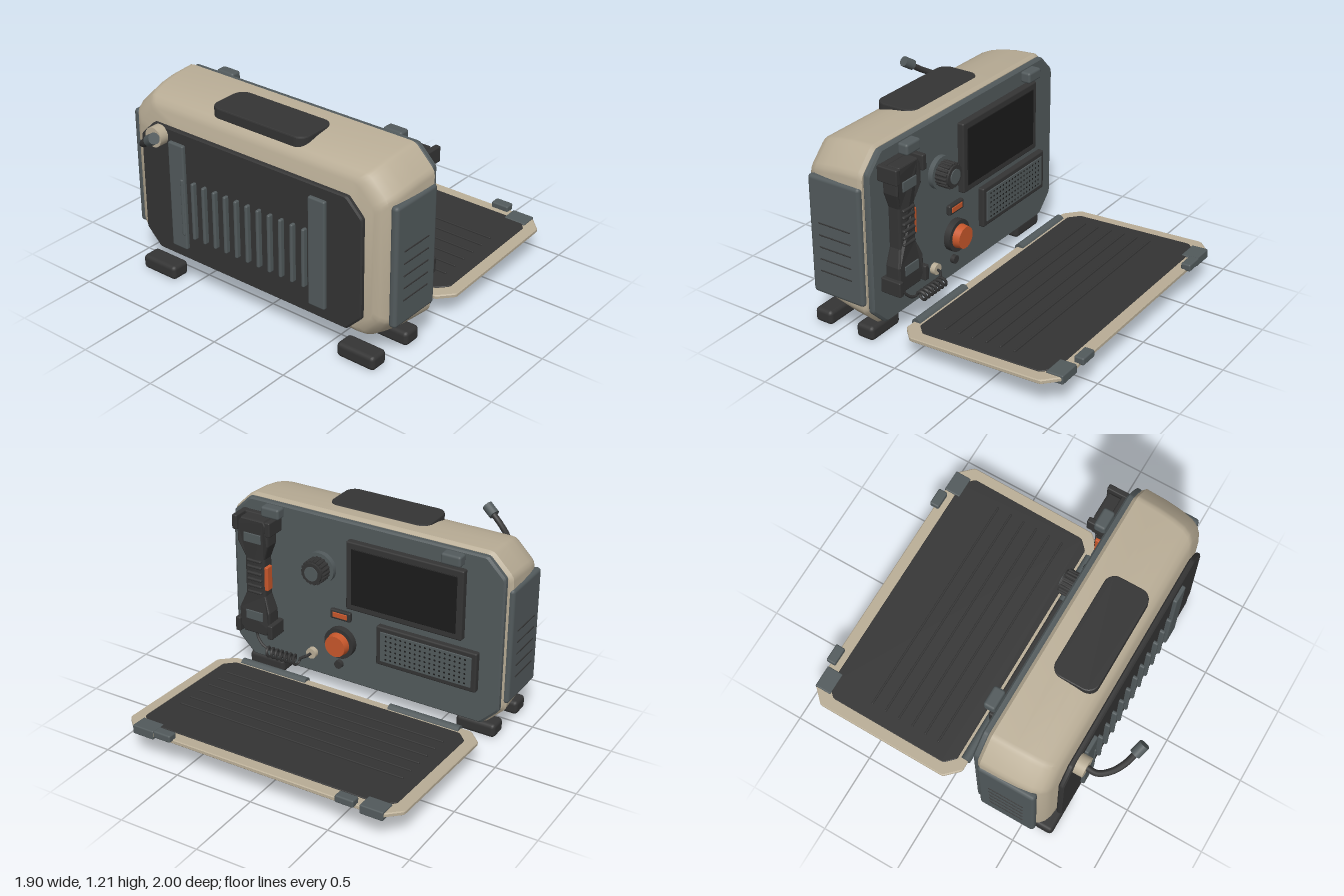
import * as THREE from 'three';
import { toCreasedNormals, mergeGeometries } from 'three/addons/utils/BufferGeometryUtils.js';
import { RoundedBoxGeometry } from 'three/addons/geometries/RoundedBoxGeometry.js';

const colour = (name, hex) => {
  const m = new THREE.MeshStandardMaterial({ color: hex });
  m.name = name;
  return m;
};
const beige = colour('beige shell', 0xb9ad96);
const dark = colour('dark rubber', 0x343434);
const gray = colour('slate gray', 0x525a5c);
const black = colour('black glass', 0x1b1b1b);
const orange = colour('orange', 0xc8572b);

function add(parent, name, geo, mat, x = 0, y = 0, z = 0) {
  const m = new THREE.Mesh(geo, mat);
  m.name = name;
  m.position.set(x, y, z);
  parent.add(m);
  return m;
}

// Rounded box given by its extents
function box(parent, name, mat, x0, x1, y0, y1, z0, z1, r = 0.01) {
  const w = x1 - x0, h = y1 - y0, d = z1 - z0;
  const geo = new RoundedBoxGeometry(w, h, d, 2, Math.min(r, w * 0.45, h * 0.45, d * 0.45));
  return add(parent, name, geo, mat, (x0 + x1) / 2, (y0 + y1) / 2, (z0 + z1) / 2);
}

// Cylinder along z
function disc(parent, name, mat, x, y, z0, z1, r, r2 = r, sides = 32) {
  const geo = new THREE.CylinderGeometry(r2, r, z1 - z0, sides).rotateX(Math.PI / 2);
  return add(parent, name, geo, mat, x, y, (z0 + z1) / 2);
}

// Octagon outline with softened corners, counter-clockwise
function octagon(hx, y0, y1, c, r) {
  const p = [[hx, y0 + c], [hx, y1 - c], [hx - c, y1], [c - hx, y1], [-hx, y1 - c], [-hx, y0 + c], [c - hx, y0], [hx - c, y0]]
    .map(([x, y]) => new THREE.Vector2(x, y));
  const out = [];
  p.forEach((q, i) => {
    const a = q.clone().add(p[(i + 7) % 8].clone().sub(q).setLength(r));
    const b = q.clone().add(p[(i + 1) % 8].clone().sub(q).setLength(r));
    out.push(a, a.clone().add(b).multiplyScalar(0.25).addScaledVector(q, 0.5), b);
  });
  return out;
}

// Skin through octagons [z, halfWidth, bottom, top, chamfer], capped at both ends
function loft(sections, r) {
  const pos = [], idx = [], n = 24, last = (sections.length - 1) * n;
  for (const [z, hx, y0, y1, c] of sections) for (const p of octagon(hx, y0, y1, c, r)) pos.push(p.x, p.y, z);
  for (let i = 0; i < last; i += n) for (let j = 0; j < n; j++) {
    const k = (j + 1) % n;
    idx.push(i + j, i + k, i + n + k, i + j, i + n + k, i + n + j);
  }
  for (let j = 1; j < n - 1; j++) idx.push(0, j + 1, j, last, last + j, last + j + 1);
  const g = new THREE.BufferGeometry();
  g.setAttribute('position', new THREE.Float32BufferAttribute(pos, 3));
  g.setIndex(idx);
  return toCreasedNormals(g, 0.55);
}

// Flat octagonal plate with bevelled rims
function plate(hx, y0, y1, c, z0, z1, b) {
  return loft([[z0, hx - b, y0 + b, y1 - b, c], [z0 + b, hx, y0, y1, c], [z1 - b, hx, y0, y1, c], [z1, hx - b, y0 + b, y1 - b, c]], 0.012);
}

function buildCase(g) {
  add(g, 'shell', loft([
    [0.245, 0.915, 0.115, 1.19, 0.125], [0.265, 0.93, 0.1, 1.206, 0.13], [0.4, 0.928, 0.118, 1.198, 0.13],
    [0.5, 0.922, 0.138, 1.183, 0.13], [0.57, 0.912, 0.155, 1.165, 0.128], [0.615, 0.893, 0.172, 1.146, 0.125],
    [0.64, 0.868, 0.19, 1.122, 0.122], [0.656, 0.835, 0.215, 1.093, 0.118]], 0.025), beige);
  add(g, 'backPlate', plate(0.905, 0.118, 1.19, 0.11, 0.207, 0.25, 0.01), gray);
  add(g, 'frontPanel', plate(0.79, 0.22, 1.027, 0.1, 0.668, 0.702, 0.008), dark);
  box(g, 'topGrip', dark, -0.333, 0.33, 1.14, 1.207, 0.35, 0.615).geometry = gripGeometry();
  // Front ribs and uprights
  for (let i = 0; i < 12; i++) box(g, 'frontRib', gray, -0.476 + i * 0.08, -0.454 + i * 0.08, 0.387, 0.748, 0.695, 0.732, 0.009);
  for (const x of [-0.505, 0.503]) box(g, 'frontUpright', gray, x - 0.057, x + 0.057, 0.293, 0.957, 0.695, 0.725, 0.01);
  for (const s of [-1, 1]) {
    // Side panels with slots
    box(g, 'sidePanel', gray, s * 0.92 - 0.025, s * 0.92 + 0.025, 0.267, 1.003, 0.248, 0.606, 0.022);
    for (let i = 0; i < 5; i++) box(g, 'sideSlot', dark, s * 0.946 - 0.003, s * 0.946 + 0.003, 0.417 + i * 0.075, 0.425 + i * 0.075, 0.32, 0.54, 0.002);
    for (const z of [0.32, 0.622]) box(g, 'foot', dark, s * 0.735 - 0.128, s * 0.735 + 0.128, 0, 0.09, z - 0.061, z + 0.061, 0.025);
    box(g, 'topCatch', gray, s * 0.6 - 0.063, s * 0.6 + 0.063, 1.118, 1.187, 0.13, 0.2, 0.015);
  }
}

function gripGeometry() {
  const w = 0.325, d = 0.127, r = 0.06, s = new THREE.Shape();
  s.absarc(w - r, d - r, r, 0, Math.PI / 2);
  s.absarc(r - w, d - r, r, Math.PI / 2, Math.PI);
  s.absarc(r - w, r - d, r, Math.PI, Math.PI * 1.5);
  s.absarc(w - r, r - d, r, Math.PI * 1.5, Math.PI * 2);
  return new THREE.ExtrudeGeometry(s, { depth: 0.05, bevelSize: 0.007, bevelThickness: 0.008, bevelSegments: 2, curveSegments: 8 })
    .rotateX(-Math.PI / 2).translate(0, -0.025, 0);
}

function buildAntenna(g) {
  disc(g, 'antennaBase', beige, -0.635, 0.972, 0.7, 0.76, 0.06);
  const path = new THREE.CatmullRomCurve3([[-0.635, 0.972, 0.75], [-0.635, 0.974, 0.82], [-0.59, 0.998, 0.885],
    [-0.52, 1.04, 0.932], [-0.45, 1.09, 0.957]].map(p => new THREE.Vector3(...p)));
  add(g, 'antennaStalk', new THREE.TubeGeometry(path, 24, 0.019, 10), dark);
  const tip = add(g, 'antennaTip', new THREE.CylinderGeometry(0.033, 0.033, 0.075, 16), gray, -0.438, 1.1, 0.962);
  tip.quaternion.setFromUnitVectors(new THREE.Vector3(0, 1, 0), new THREE.Vector3(0.8, 0.52, 0.28).normalize());
}

function buildControls(g) {
  // Screen
  box(g, 'screenFrame', dark, -0.67, 0.095, 0.645, 1.087, 0.165, 0.215);
  box(g, 'screenGlass', black, -0.632, 0.057, 0.685, 1.047, 0.161, 0.169, 0.003);
  // Speaker
  box(g, 'speakerFrame', dark, -0.77, -0.11, 0.33, 0.587, 0.17, 0.215);
  box(g, 'speakerGrille', gray, -0.74, -0.14, 0.36, 0.557, 0.165, 0.174, 0.003);
  const holes = [];
  for (let i = 0; i < 17; i++) for (let j = 0; j < 6; j++)
    holes.push(new THREE.CircleGeometry(0.007, 8).rotateY(Math.PI).translate(-0.7 + i * 0.0325, 0.381 + j * 0.031, 0.1645));
  add(g, 'speakerHoles', mergeGeometries(holes), black);
  // Tuning knob
  disc(g, 'knobBase', gray, 0.285, 0.858, 0.175, 0.21, 0.1);
  disc(g, 'knob', dark, 0.285, 0.858, 0.09, 0.18, 0.067, 0.074);
  for (let i = 0; i < 18; i++) {
    const a = i * Math.PI / 9;
    disc(g, 'knobRidge', dark, 0.285 + 0.07 * Math.cos(a), 0.858 + 0.07 * Math.sin(a), 0.1, 0.175, 0.009, 0.009, 8);
  }
  disc(g, 'knobCap', gray, 0.285, 0.858, 0.084, 0.092, 0.045);
  // Call button, indicator, small button and cord socket
  disc(g, 'buttonRing', dark, 0.145, 0.394, 0.165, 0.21, 0.1);
  disc(g, 'callButton', orange, 0.145, 0.394, 0.12, 0.17, 0.068, 0.075);
  box(g, 'indicatorFrame', dark, 0.075, 0.215, 0.545, 0.608, 0.18, 0.21);
  box(g, 'indicatorLight', orange, 0.095, 0.195, 0.56, 0.593, 0.175, 0.184, 0.003);
  disc(g, 'smallButton', dark, 0.16, 0.235, 0.18, 0.21, 0.026);
  disc(g, 'cordSocket', beige, 0.35, 0.26, 0.175, 0.21, 0.034);
}

function buildHandset(g) {
  // Grip silhouette, wide at both ends
  const half = [[0.075, 0.35], [0.1, 0.39], [0.1, 0.5], [0.062, 0.6], [0.062, 0.85], [0.1, 0.95], [0.1, 1.06], [0.075, 1.1]];
  const pts = [...half, ...half.map(([x, y]) => [-x, y]).reverse()].map(([x, y]) => new THREE.Vector2(x, y));
  const geo = new THREE.ExtrudeGeometry(new THREE.Shape(pts), { depth: 0.075, bevelSize: 0.008, bevelThickness: 0.012, bevelSegments: 2 });
  // Thin the middle of the grip
  const p = geo.attributes.position;
  for (let i = 0; i < p.count; i++) {
    const y = p.getY(i);
    if (p.getZ(i) < 0.04 && y > 0.55 && y < 0.9) p.setZ(i, p.getZ(i) + 0.02);
  }
  geo.computeVertexNormals();
  add(g, 'handset', geo, dark, 0.7, 0, 0.105);
  for (let i = 0; i < 6; i++) box(g, 'gripRib', dark, 0.648, 0.752, 0.612 + i * 0.042, 0.63 + i * 0.042, 0.095, 0.13, 0.008);
  for (const y of [0.465, 0.985]) box(g, 'handsetGrille', gray, 0.64, 0.76, y - 0.03, y + 0.03, 0.088, 0.097, 0.003);
  box(g, 'talkKey', orange, 0.612, 0.645, 0.64, 0.8, 0.115, 0.17, 0.008);
  // Cradle clips
  for (const y of [0.382, 1.07]) {
    for (const x of [0.582, 0.815]) box(g, 'cradleClip', dark, x - 0.018, x + 0.018, y - 0.047, y + 0.047, 0.075, 0.21, 0.008);
    box(g, 'cradleBase', dark, 0.58, 0.82, y - 0.045, y + 0.045, 0.17, 0.212);
  }
  // Coiled cord
  const cord = [[0.72, 0.36, 0.15], [0.715, 0.3, 0.14], [0.67, 0.25, 0.13]].map(q => new THREE.Vector3(...q));
  for (let i = 0; i <= 56; i++) {
    const a = i * Math.PI / 4;
    cord.push(new THREE.Vector3(0.62 - i * 0.004, 0.235 + 0.028 * Math.sin(a), 0.1 + 0.028 * Math.cos(a)));
  }
  cord.push(new THREE.Vector3(0.36, 0.255, 0.15), new THREE.Vector3(0.35, 0.26, 0.2));
  add(g, 'coiledCord', new THREE.TubeGeometry(new THREE.CatmullRomCurve3(cord), 260, 0.009, 6), dark);
}

function buildLid(g) {
  const lid = new THREE.Group();
  lid.name = 'lid';
  lid.position.set(0, 0.147, 0.043);
  lid.rotation.x = 0.048;
  g.add(lid);
  add(lid, 'lidPlate', plate(0.903, -0.008, 1.015, 0.085, -0.016, 0.01, 0.005).rotateX(-Math.PI / 2), beige);
  add(lid, 'lidLining', plate(0.833, 0.055, 0.943, 0.06, 0.006, 0.016, 0.003).rotateX(-Math.PI / 2), dark);
  for (let i = 0; i < 6; i++) box(lid, 'lidRib', dark, -0.745, 0.745, 0.01, 0.026, -0.21 - i * 0.092, -0.198 - i * 0.092, 0.005);
  for (const z of [-0.2, -0.4]) box(lid, 'undersideRail', beige, -0.54, 0.54, -0.028, -0.01, z - 0.02, z + 0.02, 0.008);
  for (const s of [-1, 1]) {
    box(lid, 'lidCorner', gray, s * 0.75 - 0.072, s * 0.75 + 0.072, -0.036, 0.02, -1.018, -0.912, 0.008);
    box(lid, 'lidLatch', gray, s * 0.598 - 0.058, s * 0.598 + 0.058, 0, 0.045, -1.044, -0.982, 0.01);
    add(lid, 'hinge', new THREE.CylinderGeometry(0.031, 0.031, 0.465, 20).rotateZ(Math.PI / 2), gray, s * 0.52, 0, -0.01);
  }
}

export function createModel() {
  const model = new THREE.Group();
  model.name = 'portableRadio';
  for (const [name, build] of [['case', buildCase], ['antenna', buildAntenna], ['controls', buildControls], ['handsetUnit', buildHandset], ['lidAssembly', buildLid]]) {
    const g = new THREE.Group();
    g.name = name;
    build(g);
    model.add(g);
  }
  // Place the grip at its height on the case
  model.getObjectByName('topGrip').position.y = 1.174;
  return model;
}
